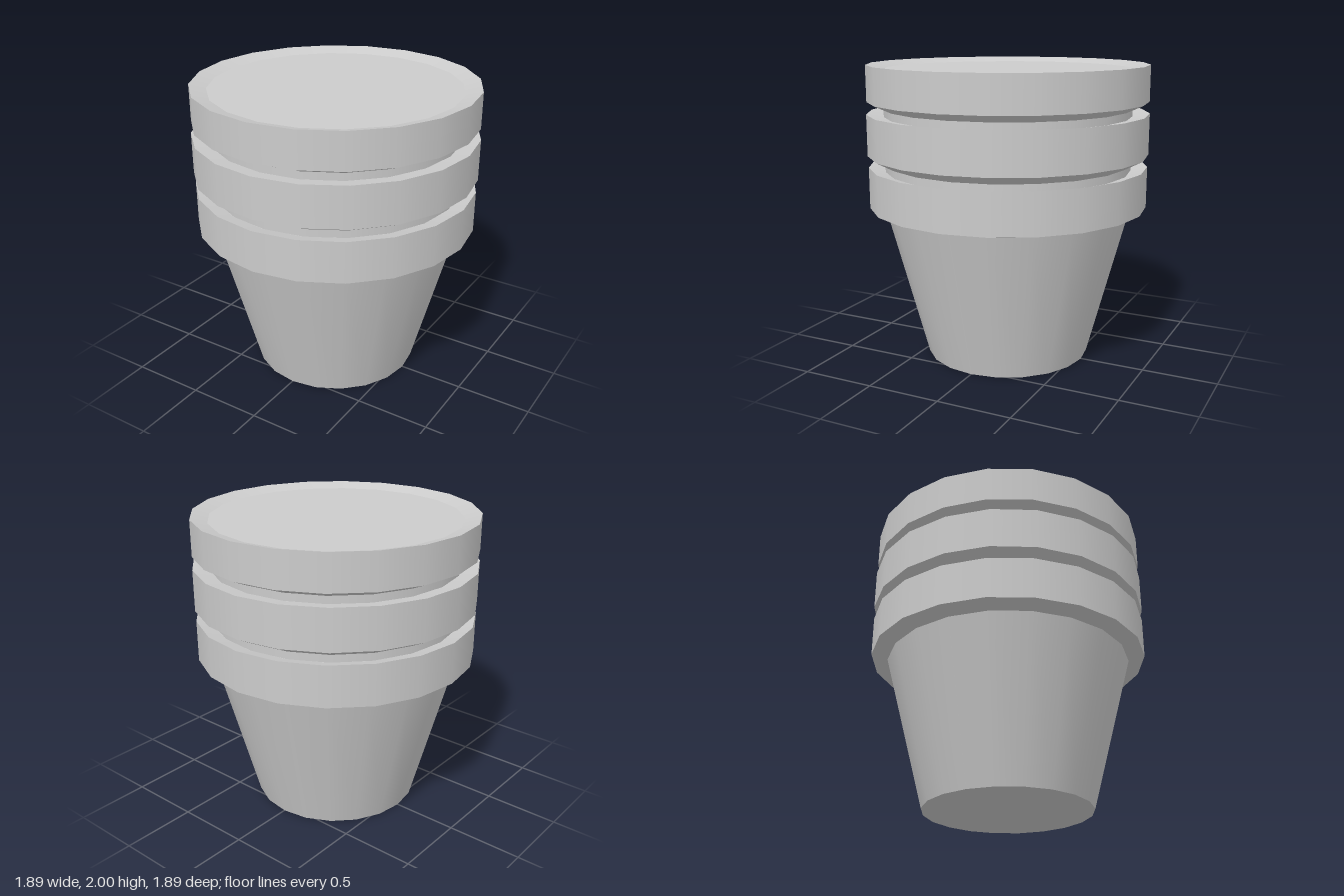
import * as THREE from 'three';
import { mergeGeometries } from 'three/addons/utils/BufferGeometryUtils.js';

const SIDES = 20;
const NECK = 0.83;
const material = new THREE.MeshStandardMaterial({ color: 0xcccccc });

// Turns a profile into smooth bands with a sharp edge between each pair
function turned(name, profile) {
  const bands = [];
  for (let i = 0; i < profile.length - 1; i++) {
    const pair = [profile[i], profile[i + 1]].map(([r, y]) => new THREE.Vector2(r, y));
    bands.push(new THREE.LatheGeometry(pair, SIDES));
  }
  const mesh = new THREE.Mesh(mergeGeometries(bands), material);
  mesh.name = name;
  return mesh;
}

// One pot: a tapered or straight body below a thick rim with a shallow dished top
function pot(name, { base, baseRadius, neck, rimBottom, rimTop, radius, dish, turn = 0 }) {
  const group = new THREE.Group();
  group.name = name;
  group.add(turned('body', [[0, base], [baseRadius, base], [NECK, neck]]));
  group.add(turned('rim', [
    [NECK, neck], [radius, rimBottom], [radius, rimTop], [NECK, rimTop - dish], [0, rimTop - dish],
  ]));
  group.rotation.y = turn;
  return group;
}

export function createModel() {
  const model = new THREE.Group();
  model.name = 'stackedPots';
  model.add(
    pot('bottomPot', { base: 0, baseRadius: 0.56, neck: 1.02, rimBottom: 1.05, rimTop: 1.325, radius: 0.94, dish: 0.03 }),
    pot('middlePot', { base: 1.295, baseRadius: NECK, neck: 1.345, rimBottom: 1.405, rimTop: 1.68, radius: 0.945, dish: 0.02, turn: 0.023 }),
    pot('topPot', { base: 1.66, baseRadius: NECK, neck: 1.71, rimBottom: 1.76, rimTop: 2, radius: 0.94, dish: 0.03 }),
  );
  return model;
}
